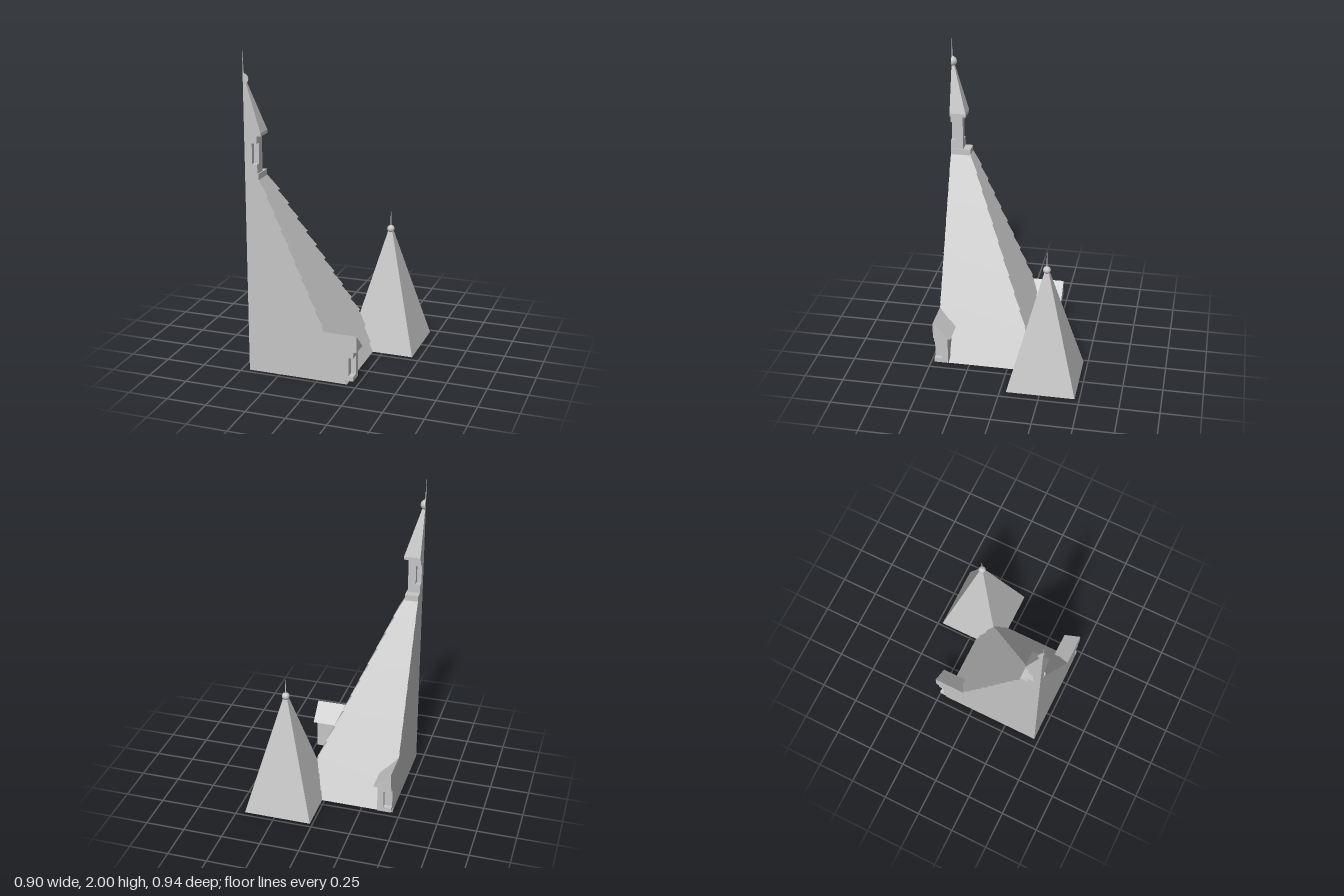
import * as THREE from 'three';
import { ConvexGeometry } from 'three/addons/geometries/ConvexGeometry.js';

// Vertical axis of the spire; the quarter roof spreads from it to +x and -z
const AX = -0.45, AZ = 0.47;

export function createModel() {
  const model = new THREE.Group();
  model.name = 'steepleRoof';
  const stone = new THREE.MeshStandardMaterial({ color: 0xc6c6c6 });
  stone.name = 'pale grey';

  const add = (parent, name, geometry) => {
    const mesh = new THREE.Mesh(geometry, stone);
    mesh.name = name;
    parent.add(mesh);
    return mesh;
  };
  const group = (name) => {
    const g = new THREE.Group();
    g.name = name;
    model.add(g);
    return g;
  };
  // Quarter positions: u runs to +x, w runs to -z
  const at = (u, y, w) => new THREE.Vector3(AX + u, y, AZ - w);

  // Tapered quarter block with its inner corner on the axis
  const quarter = (parent, name, y0, u0, w0, y1, u1, w1) => {
    const pts = [at(0, y0, 0), at(u0, y0, 0), at(u0, y0, w0), at(0, y0, w0), at(0, y1, 0)];
    if (u1 > 0) pts.push(at(u1, y1, 0), at(u1, y1, w1), at(0, y1, w1));
    return add(parent, name, new ConvexGeometry(pts));
  };
  // Straight block between two corners; swap turns it to the back side
  const block = (parent, name, u0, u1, y0, y1, w0, w1, swap) => {
    const pts = [];
    for (const u of [u0, u1]) for (const y of [y0, y1]) for (const w of [w0, w1])
      pts.push(swap ? at(w, y, u) : at(u, y, w));
    return add(parent, name, new ConvexGeometry(pts));
  };

  // Main roof: overlapping courses, each stepping out at its lower edge
  const roof = group('mainRoof');
  const reach = (y) => 0.655 - 0.439 * (y - 0.06);
  quarter(roof, 'roofCourse', 0, 0.637, 0.677, 0.06, 0.603, 0.643);
  const pitch = 0.0975;
  for (let i = 0; i < 12; i++) {
    const y0 = 0.06 + i * pitch, y1 = y0 + pitch;
    const a = reach(y0), b = reach(y1) - 0.012;
    quarter(roof, 'roofCourse', y0, a - 0.04, a, y1, b - 0.04, b);
  }
  quarter(roof, 'roofCurb', 1.23, 0.086, 0.127, 1.268, 0.086, 0.127);

  // Lantern with a recessed window on each side
  const lantern = group('lantern');
  const L = 0.079, N = 0.047, H = 0.03;
  block(lantern, 'lanternBase', 0, L, 1.268, 1.325, 0, L);
  block(lantern, 'lanternCore', 0, N, 1.325, 1.45, 0, N);
  block(lantern, 'lanternPost', N, L, 1.325, 1.45, H, L);
  block(lantern, 'lanternPost', H, N, 1.325, 1.45, N, L);
  block(lantern, 'lanternHead', 0, L, 1.45, 1.495, 0, L);

  // Spire cap, ball and needle
  const spire = group('spire');
  quarter(spire, 'spireEave', 1.495, 0.104, 0.104, 1.515, 0.104, 0.104);
  quarter(spire, 'spireCap', 1.515, 0.104, 0.104, 1.87, 0, 0);
  quarter(spire, 'spireNeedle', 1.85, 0.006, 0.006, 2, 0.001, 0.001);
  const R = 0.033;
  const ball = new THREE.Group();
  ball.name = 'spireBall';
  ball.position.set(AX, 1.83, AZ);
  spire.add(ball);
  add(ball, 'ballSurface', new THREE.SphereGeometry(R, 10, 20, Math.PI, Math.PI / 2));
  add(ball, 'ballFrontCut', new THREE.CircleGeometry(R, 20, -Math.PI / 2, Math.PI));
  add(ball, 'ballSideCut', new THREE.CircleGeometry(R, 20, Math.PI / 2, Math.PI).rotateY(-Math.PI / 2));

  // Half dormers on the right and back slopes, each cut through its middle
  for (const swap of [false, true]) {
    const dormer = group(swap ? 'backDormer' : 'sideDormer');
    const d = swap ? 0.04 : 0;
    const face = 0.677 + d, back = 0.646 + d, inner = 0.4 + d;
    block(dormer, 'dormerBody', inner, back, 0.025, 0.215, 0, 0.09, swap);
    block(dormer, 'dormerSill', back, face, 0.025, 0.055, 0, 0.09, swap);
    block(dormer, 'dormerLintel', back, face, 0.175, 0.215, 0, 0.09, swap);
    block(dormer, 'dormerJamb', back, face, 0.055, 0.175, 0.05, 0.09, swap);
    const pts = [];
    for (const u of [inner, 0.697 + d])
      for (const [y, w] of [[0.215, 0], [0.215, 0.113], [0.322, 0]])
        pts.push(swap ? at(w, y, u) : at(u, y, w));
    add(dormer, 'dormerGable', new ConvexGeometry(pts));
  }

  // Corner turret: plain pyramid with ball and needle
  const turret = group('cornerTurret');
  turret.position.set(0.232, 0, -0.255);
  const h = 0.216;
  add(turret, 'turretRoof', new ConvexGeometry([
    new THREE.Vector3(-h, 0, -h), new THREE.Vector3(h, 0, -h),
    new THREE.Vector3(h, 0, h), new THREE.Vector3(-h, 0, h),
    new THREE.Vector3(0, 0.81, 0),
  ]));
  add(turret, 'turretBall', new THREE.SphereGeometry(0.024, 24, 16)).position.y = 0.77;
  add(turret, 'turretNeedle', new THREE.CylinderGeometry(0.001, 0.005, 0.1, 12)).position.y = 0.835;

  return model;
}
